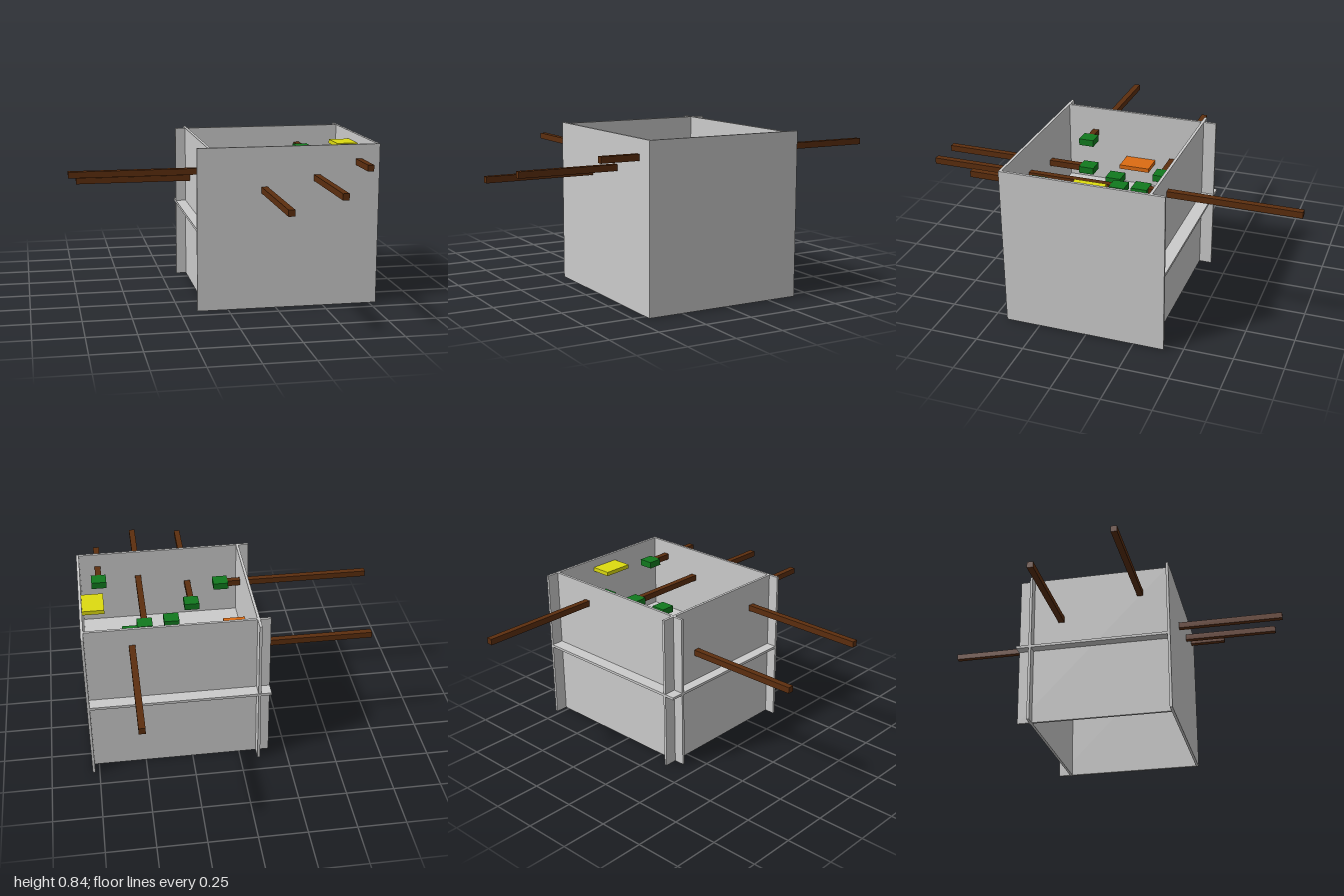
import * as THREE from 'three';

export function createModel() {
  const model = new THREE.Group();
  const paint = (color) => new THREE.MeshStandardMaterial({ color });
  const grey = paint(0xcccccc), brown = paint(0x5c2e0e), green = paint(0x117a1e);
  const yellow = paint(0xdedc10), orange = paint(0xdd6b12);

  // Box spanning [x0,x1] x [y0,y1] x [z0,z1]
  function block(name, material, [x0, x1], [y0, y1], [z0, z1], parent = model) {
    const mesh = new THREE.Mesh(new THREE.BoxGeometry(x1 - x0, y1 - y0, z1 - z0), material);
    mesh.position.set((x0 + x1) / 2, (y0 + y1) / 2, (z0 + z1) / 2);
    mesh.name = name;
    parent.add(mesh);
  }

  // Thin panels: the back and right ones overlap past the corner
  const H = 0.84;
  block('frontPanel', grey, [-0.16, 0.787], [0, H], [0.416, 0.43]);
  block('leftPanel', grey, [0.773, 0.787], [0, H], [-0.406, 0.416]);
  block('rightPanel', grey, [-0.105, -0.091], [0, H], [-0.406, 0.416]);
  block('backPanel', grey, [-0.16, 0.773], [0, H], [-0.34, -0.326]);
  block('middleShelf', grey, [-0.16, 0.773], [0.413, 0.427], [-0.408, 0.416]);

  // Plates against the side panels
  block('yellowPlate', yellow, [0.66, 0.773], [0.772, 0.794], [-0.075, 0.088]);
  block('orangePlate', orange, [-0.091, 0.025], [0.558, 0.58], [-0.075, 0.088]);

  // Blocks [x, y, z], each with a rod along an axis to its outer end
  const half = 0.04, r = 0.016, h = 0.018;
  const pegs = [
    [0.185, 0.62, 0.203, 'z', 1.0],
    [0.457, 0.675, -0.062, 'z', 0.945],
    [0.676, 0.75, 0.28, 'z', 0.63],
    [0.538, 0.73, -0.207, 'z', -1.0],
    [0.018, 0.698, 0.265, 'x', -0.79],
    [0.092, 0.586, -0.172, 'x', -0.73],
    [0.312, 0.648, 0.008],
  ];
  pegs.forEach(([x, y, z, axis, end], i) => {
    const peg = new THREE.Group();
    peg.name = `peg${i + 1}`;
    model.add(peg);
    block('pegBlock', green, [x - half, x + half], [y - h, y + h], [z - half, z + half], peg);
    if (!axis) return;
    const from = axis === 'x' ? x : z;
    const start = from + Math.sign(end - from) * half;
    const span = [Math.min(start, end), Math.max(start, end)];
    block('pegRod', brown,
      axis === 'x' ? span : [x - r, x + r], [y - r, y + r],
      axis === 'z' ? span : [z - r, z + r], peg);
  });

  return model;
}
